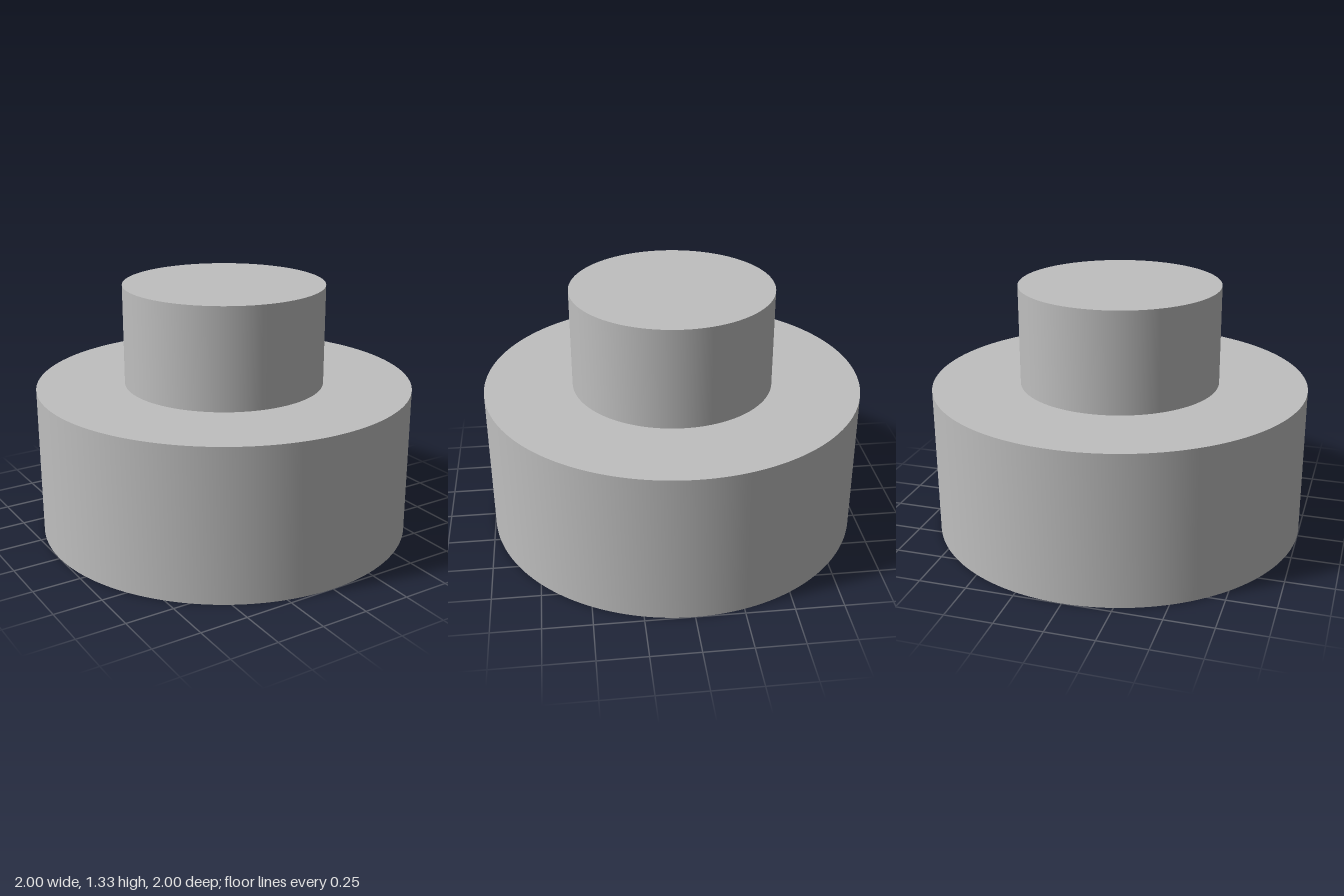
import * as THREE from 'three';
import { toCreasedNormals } from 'three/addons/utils/BufferGeometryUtils.js';

const BASE_H = 0.8, TOTAL_H = 1.333, COLLAR_R = 0.533;
const SOCKET_R = 0.205, SOCKET_FLAT = 0.1;

export function createModel() {
  const knob = new THREE.Group();
  knob.name = 'knob';
  const grey = new THREE.MeshStandardMaterial({ color: 0xbfbfbf });
  grey.name = 'grey';

  // Wide base with a D-shaped shaft socket, flat side towards +x
  const disc = new THREE.Shape();
  disc.absarc(0, 0, 1, 0, Math.PI * 2);
  const socket = new THREE.Path();
  const a = Math.acos(SOCKET_FLAT / SOCKET_R);
  socket.absarc(0, 0, SOCKET_R, a, Math.PI * 2 - a);
  socket.closePath();
  disc.holes.push(socket);
  const baseGeometry = new THREE.ExtrudeGeometry(disc, {
    depth: BASE_H, bevelEnabled: false, curveSegments: 96,
  });
  baseGeometry.rotateX(-Math.PI / 2);
  const base = new THREE.Mesh(toCreasedNormals(baseGeometry, 0.5), grey);
  base.name = 'base';

  // Narrow grip on top; its underside closes the socket
  const gripH = TOTAL_H - BASE_H;
  const grip = new THREE.Mesh(new THREE.CylinderGeometry(COLLAR_R, COLLAR_R, gripH, 96), grey);
  grip.name = 'grip';
  grip.position.y = BASE_H + gripH / 2;

  knob.add(base, grip);
  return knob;
}
